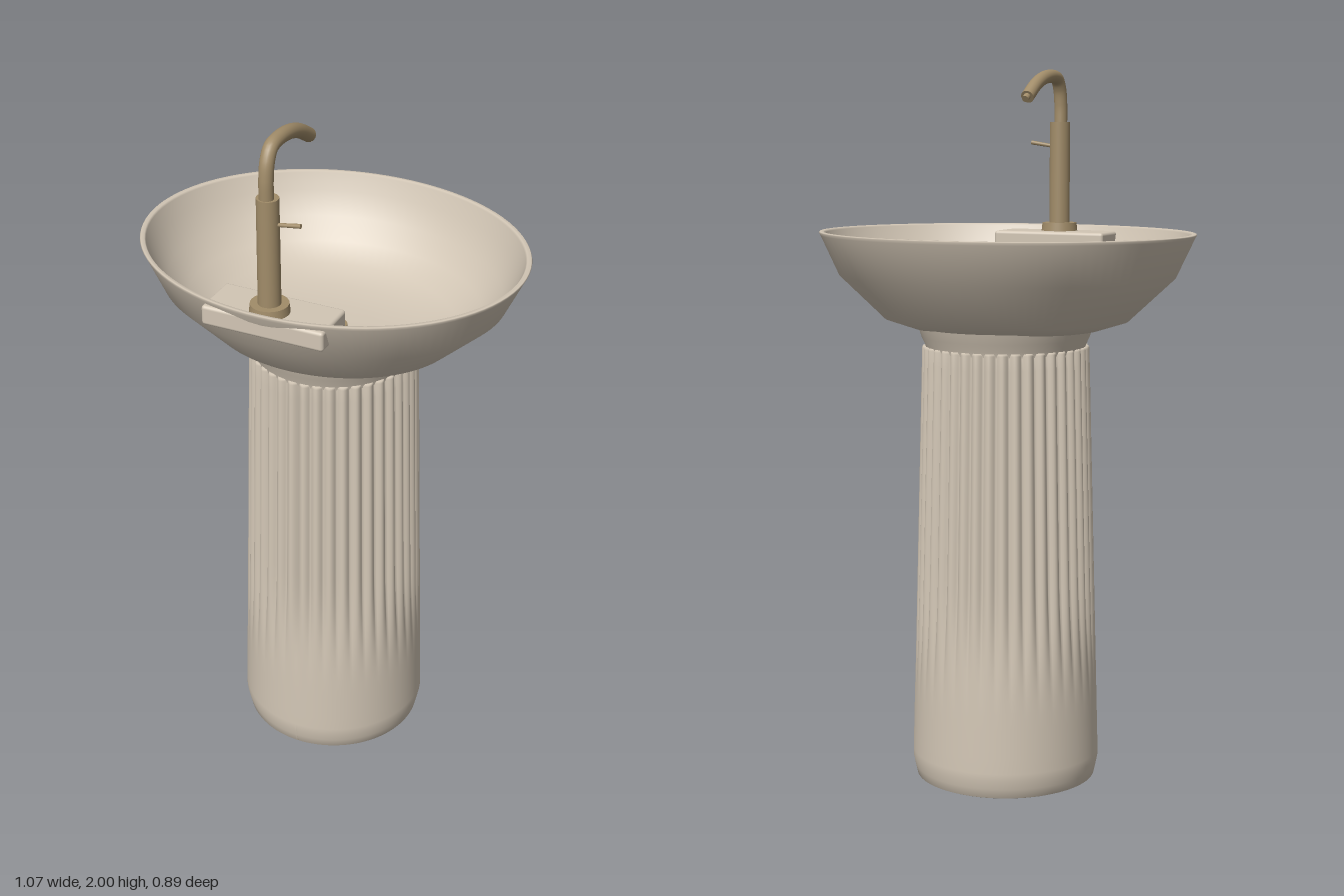
import * as THREE from 'three';
import { RoundedBoxGeometry } from 'three/addons/geometries/RoundedBoxGeometry.js';

const FLUTES = 40;
const ceramic = new THREE.MeshStandardMaterial({ color: 0xd2c6b5 });
ceramic.name = 'warm ceramic';
const bronze = new THREE.MeshStandardMaterial({ color: 0xa18c69 });
bronze.name = 'brushed bronze';

function add(parent, name, geometry, material, x = 0, y = 0, z = 0) {
  const mesh = new THREE.Mesh(geometry, material);
  mesh.name = name;
  mesh.position.set(x, y, z);
  parent.add(mesh);
  return mesh;
}

const lathe = (points, segments) =>
  new THREE.LatheGeometry(points.map(([r, y]) => new THREE.Vector2(r, y)), segments);

// Tapered column whose reeds fade out towards a smooth foot
function pedestalGeometry() {
  const profile = [[0, 0], [0.245, 0], [0.254, 0.004], [0.26, 0.03], [0.265, 0.055], [0.265, 0.075]];
  const rows = 28;
  for (let i = 1; i <= rows; i++) {
    const t = i / rows;
    profile.push([0.265 - 0.031 * t, 0.075 + 1.155 * t]);
  }
  profile.push([0.231, 1.236], [0.2, 1.236]);
  const geo = lathe(profile, FLUTES * 8);
  const pos = geo.attributes.position;
  for (let i = 0; i < pos.count; i++) {
    const x = pos.getX(i), y = pos.getY(i), z = pos.getZ(i);
    const r = Math.hypot(x, z);
    if (r < 0.21) continue;
    const fade = THREE.MathUtils.smoothstep(y, 0.22, 0.62);
    const groove = 1 - Math.abs(Math.sin(Math.atan2(x, z) * FLUTES / 2));
    const k = 1 - 0.014 * fade * groove / r;
    pos.setXYZ(i, x * k, y, z * k);
  }
  geo.computeVertexNormals();
  return geo;
}

export function createModel() {
  const model = new THREE.Group();
  model.name = 'pedestalBasin';

  add(model, 'pedestal', pedestalGeometry(), ceramic);
  add(model, 'neck', lathe([[0.222, 1.225], [0.225, 1.24], [0.235, 1.262], [0.244, 1.29]], 64), ceramic);

  // Oval bowl: outer wall, rim, then inner wall down to the drain
  const bowl = lathe([
    [0, 1.272], [0.2, 1.274], [0.27, 1.285], [0.35, 1.31], [0.48, 1.43],
    [0.533, 1.541], [0.537, 1.548], [0.535, 1.551], [0.524, 1.551], [0.52, 1.546],
    [0.503, 1.5], [0.465, 1.432], [0.41, 1.377], [0.34, 1.334], [0.25, 1.308], [0.13, 1.297], [0, 1.295],
  ], 96);
  bowl.scale(1, 1, 0.825);
  add(model, 'bowl', bowl, ceramic);
  add(model, 'drain', new THREE.CylinderGeometry(0.037, 0.037, 0.008, 40), bronze, 0, 1.299, 0);

  // Deck block that carries the tap at the rim
  add(model, 'tapDeck', new RoundedBoxGeometry(0.342, 0.055, 0.14, 3, 0.009), ceramic, 0, 1.508, 0.361);

  const tap = new THREE.Group();
  tap.name = 'tap';
  tap.position.set(0, 0, 0.38);
  model.add(tap);
  add(tap, 'tapFlange', new THREE.CylinderGeometry(0.05, 0.053, 0.026, 40), bronze, 0, 1.546, 0);
  add(tap, 'tapBody', new THREE.CylinderGeometry(0.029, 0.03, 0.295, 32), bronze, 0, 1.7025, 0);

  // Swan-neck spout
  const path = new THREE.CatmullRomCurve3([
    [1.84, 0.006], [1.9, 0.006], [1.945, -0.002], [1.974, -0.022],
    [1.981, -0.06], [1.975, -0.12], [1.956, -0.175], [1.922, -0.232],
  ].map(([y, z]) => new THREE.Vector3(0, y, z)));
  add(tap, 'spout', new THREE.TubeGeometry(path, 48, 0.019, 20), bronze);
  const end = path.getPoint(1), dir = path.getTangent(1);
  const orient = (mesh) => mesh.quaternion.setFromUnitVectors(new THREE.Vector3(0, 1, 0), dir);
  orient(add(tap, 'spoutEnd', new THREE.CylinderGeometry(0.019, 0.019, 0.004, 20), bronze, end.x, end.y, end.z));
  orient(add(tap, 'aerator', new THREE.CylinderGeometry(0.01, 0.01, 0.024, 16), bronze, 0, end.y - 0.001, end.z - 0.006));

  // Slim side lever
  const lever = add(tap, 'lever', new THREE.CylinderGeometry(0.006, 0.005, 0.07, 12), bronze, 0.055, 1.786, 0);
  lever.rotation.z = -Math.PI / 2 + 0.15;

  return model;
}
